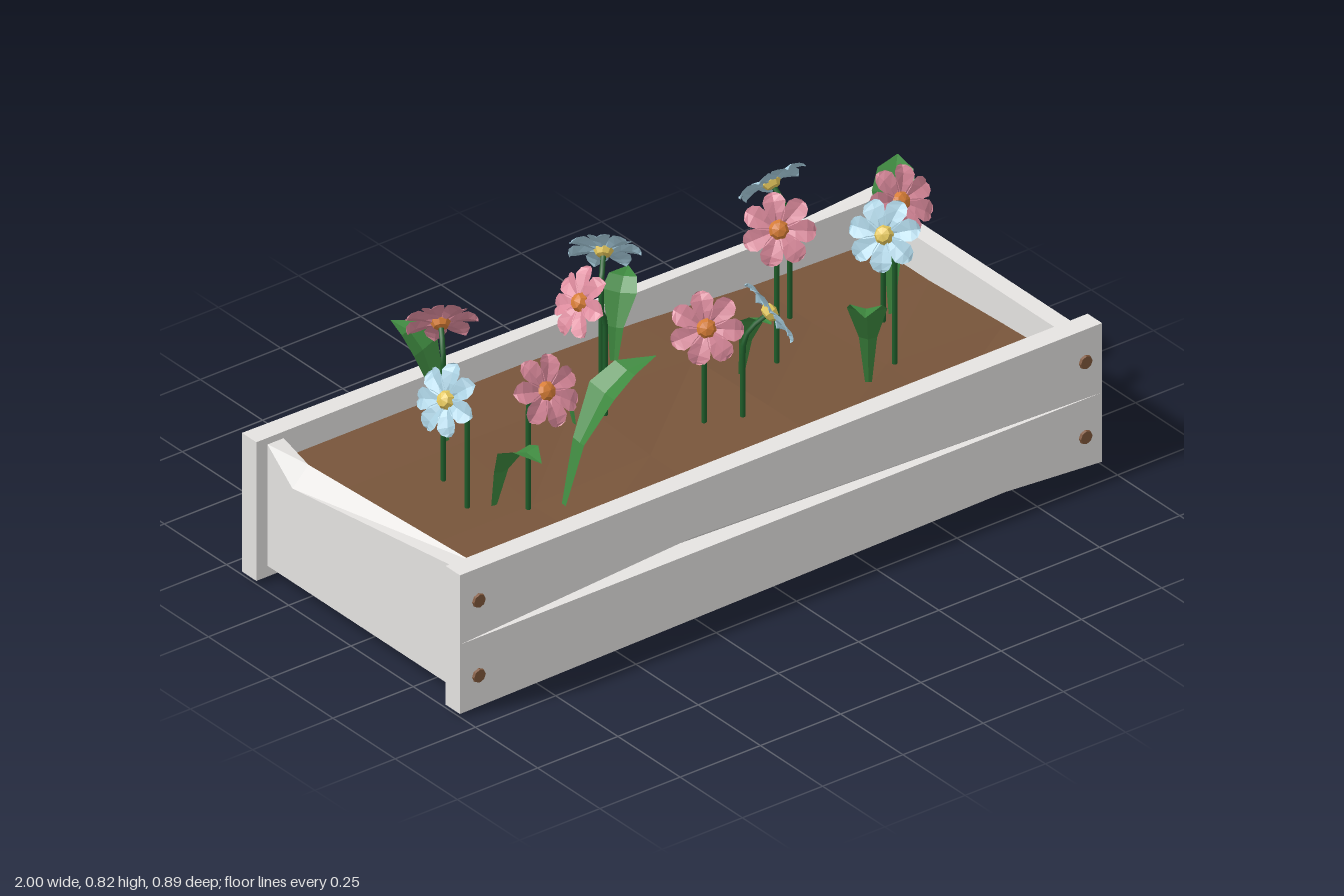
import * as THREE from 'three';
import { mergeGeometries } from 'three/addons/utils/BufferGeometryUtils.js';

const V = (x, y, z) => new THREE.Vector3(x, y, z);
const mat = (name, color, side = THREE.FrontSide) => {
  const m = new THREE.MeshStandardMaterial({ color, side });
  m.name = name;
  return m;
};

// Faceted normals
function flat(geo) {
  const g = geo.index ? geo.toNonIndexed() : geo;
  g.computeVertexNormals();
  return g;
}

// Board along x whose lower outer (+z) edge is worn away, deepest at x = peak
function wornBoard(length, height, depth, peak, outerCut, innerCut = 0) {
  const g = new THREE.BoxGeometry(length, height, depth, 2, 1, 1);
  const p = g.attributes.position;
  for (let i = 0; i < p.count; i++) {
    if (Math.abs(p.getX(i)) > 0.01) continue;
    p.setX(i, peak);
    if (p.getY(i) < 0) p.setY(i, p.getY(i) + (p.getZ(i) > 0 ? outerCut : innerCut));
  }
  return flat(g);
}

// Folded strip through rows of [left, middle, right] points
function ribbon(rows) {
  const pos = [], idx = [];
  rows.forEach((row, r) => {
    row.forEach((v) => pos.push(v.x, v.y, v.z));
    if (r === 0) return;
    for (let c = 0; c < 2; c++) {
      const a = (r - 1) * 3 + c, b = a + 3;
      idx.push(a, b, a + 1, a + 1, b, b + 1);
    }
  });
  const g = new THREE.BufferGeometry();
  g.setAttribute('position', new THREE.Float32BufferAttribute(pos, 3));
  g.setIndex(idx);
  return flat(g);
}

// Seven cupped petals around +y
function petalRing() {
  const profile = [[0.012, 0.009, 0], [0.042, 0.023, 0.006], [0.07, 0.029, 0.007], [0.086, 0.021, 0.002], [0.093, 0.008, -0.003]];
  const petals = [];
  for (let i = 0; i < 7; i++) {
    const rows = profile.map(([r, w, y]) => [V(-w, y + 0.004, r), V(0, y - 0.003, r), V(w, y + 0.004, r)]);
    petals.push(ribbon(rows).rotateY((i / 7) * Math.PI * 2));
  }
  return mergeGeometries(petals);
}

// Leaf arching from the soil to its tip
function leafGeometry([bx, bz, tx, ty, tz, width]) {
  const base = V(bx, 0.28, bz), tip = V(tx, ty, tz);
  const bend = base.clone().lerp(tip, 0.25).setY(ty + 0.015);
  const curve = new THREE.QuadraticBezierCurve3(base, bend, tip);
  const side = V(tz - bz, 0, bx - tx).normalize();
  const out = V(tx - bx, 0, tz - bz).normalize();
  const shape = [[0, 0.1], [0.3, 0.45], [0.58, 1], [0.78, 0.8], [1, 0.02]];
  return ribbon(shape.map(([t, s]) => {
    const mid = curve.getPoint(t);
    const w = width * 0.5 * s;
    const edge = (k) => mid.clone().addScaledVector(side, k * w).addScaledVector(out, -0.15 * w).add(V(0, 0.2 * w, 0));
    return [edge(1), mid, edge(-1)];
  }));
}

export function createModel() {
  const root = new THREE.Group();
  const wood = mat('pale wood', 0xe5e3e1);
  const soilMat = mat('soil brown', 0x78553b, THREE.DoubleSide);
  const boltMat = mat('bolt brown', 0x80573b);
  const pink = mat('petal pink', 0xdb8a9c, THREE.DoubleSide);
  const blue = mat('petal blue', 0xa9cfe0, THREE.DoubleSide);
  const yellow = mat('centre yellow', 0xe3c65c);
  const orange = mat('centre orange', 0xd67d36);
  const stemMat = mat('stem green', 0x1f5f2b);
  const leafMat = mat('leaf green', 0x3f8a40, THREE.DoubleSide);

  const add = (name, geo, material, x = 0, y = 0, z = 0, parent = root) => {
    const m = new THREE.Mesh(geo, material);
    m.name = name;
    m.position.set(x, y, z);
    parent.add(m);
    return m;
  };

  // Long sides: the back is the front turned over about x
  const boltGeo = flat(new THREE.CylinderGeometry(0.018, 0.021, 0.014, 8).rotateX(Math.PI / 2));
  for (const [name, turn] of [['frontSide', 0], ['backSide', Math.PI]]) {
    const side = new THREE.Group();
    side.name = name;
    side.position.y = 0.207;
    side.rotation.x = turn;
    add('lowerPlank', wornBoard(2, 0.198, 0.058, 0.7, 0.022), wood, 0, -0.099, 0.409, side);
    add('upperPlank', wornBoard(2, 0.198, 0.058, -0.28, 0.045), wood, 0, 0.099, 0.409, side);
    for (const x of [-0.943, 0.947])
      for (const y of [-0.107, 0.107]) add('bolt', boltGeo, boltMat, x, y, 0.438, side);
    root.add(side);
  }

  // End boards: worn below on the left, worn above on the right
  const endGeo = wornBoard(0.762, 0.347, 0.05, 0.28, 0.08, 0.03);
  add('leftEnd', endGeo, wood, 0.94, 0.213, 0).rotation.y = Math.PI / 2;
  add('rightEnd', endGeo, wood, -0.94, 0.213, 0).rotation.set(0, -Math.PI / 2, Math.PI);

  // Lumpy soil, lower towards the back left
  const heights = [
    [0.33, 0.33, 0.33, 0.32, 0.295, 0.285],
    [0.345, 0.345, 0.34, 0.325, 0.295, 0.285],
    [0.31, 0.31, 0.32, 0.33, 0.315, 0.3],
    [0.315, 0.315, 0.32, 0.33, 0.3, 0.31],
  ];
  const rowZ = [-0.382, -0.15, 0.15, 0.382];
  const soil = new THREE.PlaneGeometry(1.84, 0.764, 5, 3).rotateX(-Math.PI / 2);
  const sp = soil.attributes.position;
  for (let i = 0; i < sp.count; i++) {
    const row = Math.floor(i / 6);
    sp.setY(i, heights[row][i % 6]);
    sp.setZ(i, rowZ[row]);
  }
  add('soil', flat(soil), soilMat);

  // Brown rails at the foot of the ends and the back
  for (const s of [-1, 1])
    add('endRail', new THREE.BoxGeometry(0.016, 0.07, 0.762), soilMat, s * 0.91, 0.035, 0);
  add('backRail', new THREE.BoxGeometry(1.84, 0.012, 0.012), soilMat, 0, 0.006, -0.384);

  // Flowers: head position, facing direction, blue or pink, height of the stem's foot
  const flowers = [
    [-0.635, 0.74, -0.11, 0.45, 0.55, -0.7, false, 0.3],
    [-0.57, 0.68, 0.23, 0, 0.52, 0.85, false, 0.3],
    [-0.765, 0.655, 0.08, -0.85, 0.45, 0.1, true, 0.3],
    [-0.235, 0.675, -0.065, -0.85, 0.5, -0.1, false, 0.3],
    [-0.025, 0.635, 0.17, -0.5, 0.42, 0.75, false, 0.17],
    [0.175, 0.605, 0.165, 0.82, 0.5, 0.18, true, 0.17],
    [0.305, 0.735, 0.035, -0.5, 0.48, 0.73, false, 0.3],
    [0.51, 0.72, 0.195, -0.65, 0.5, 0.4, true, 0.28],
    [0.52, 0.65, -0.27, 0, 0.65, -0.75, true, 0.26],
    [-0.015, 0.655, -0.255, 0.55, 0.58, -0.6, true, 0.3],
    [0.69, 0.675, 0.03, 0, 0.52, 0.85, false, 0.26],
  ];
  const petals = petalRing();
  const centre = flat(new THREE.SphereGeometry(0.026, 8, 4).scale(1, 0.75, 1));
  for (const [x, y, z, nx, ny, nz, isBlue, footY] of flowers) {
    const flower = new THREE.Group();
    flower.name = isBlue ? 'blueFlower' : 'pinkFlower';
    const dir = V(nx, ny, nz).normalize();
    const at = V(x, y, z);
    const head = new THREE.Group();
    head.name = 'flowerHead';
    head.position.copy(at);
    head.quaternion.setFromUnitVectors(V(0, 1, 0), dir);
    add('petals', petals, isBlue ? blue : pink, 0, 0, 0, head);
    add('centre', centre, isBlue ? yellow : orange, 0, 0.002, 0, head);
    const foot = at.clone().addScaledVector(V(dir.x, 0, dir.z).normalize(), -0.072).setY(footY);
    const neck = at.clone().addScaledVector(dir, -0.012);
    const path = new THREE.CurvePath();
    const bendStart = foot.clone().setY(y - 0.1);
    path.add(new THREE.LineCurve3(foot, bendStart));
    path.add(new THREE.CubicBezierCurve3(bendStart, foot.clone().setY(y - 0.03), at.clone().addScaledVector(dir, -0.05), neck));
    add('stem', new THREE.TubeGeometry(path, 14, 0.0068, 6), stemMat, 0, 0, 0, flower);
    flower.add(head);
    root.add(flower);
  }

  // Leaves: base x, z, tip x, y, z, width
  const leaves = [
    [-0.56, -0.17, -0.62, 0.64, -0.33, 0.11],
    [-0.63, 0.09, -0.67, 0.56, 0.34, 0.09],
    [-0.5, 0.2, -0.22, 0.65, 0.22, 0.11],
    [-0.24, -0.07, -0.39, 0.52, -0.06, 0.055],
    [0.235, -0.03, 0.2, 0.55, 0.14, 0.08],
    [0.465, 0.19, 0.33, 0.62, 0.35, 0.1],
    [0.73, -0.06, 0.85, 0.65, -0.19, 0.11],
    [0.01, -0.25, 0.12, 0.53, -0.33, 0.09],
  ];
  for (const leaf of leaves) add('leaf', leafGeometry(leaf), leafMat);

  return root;
}
